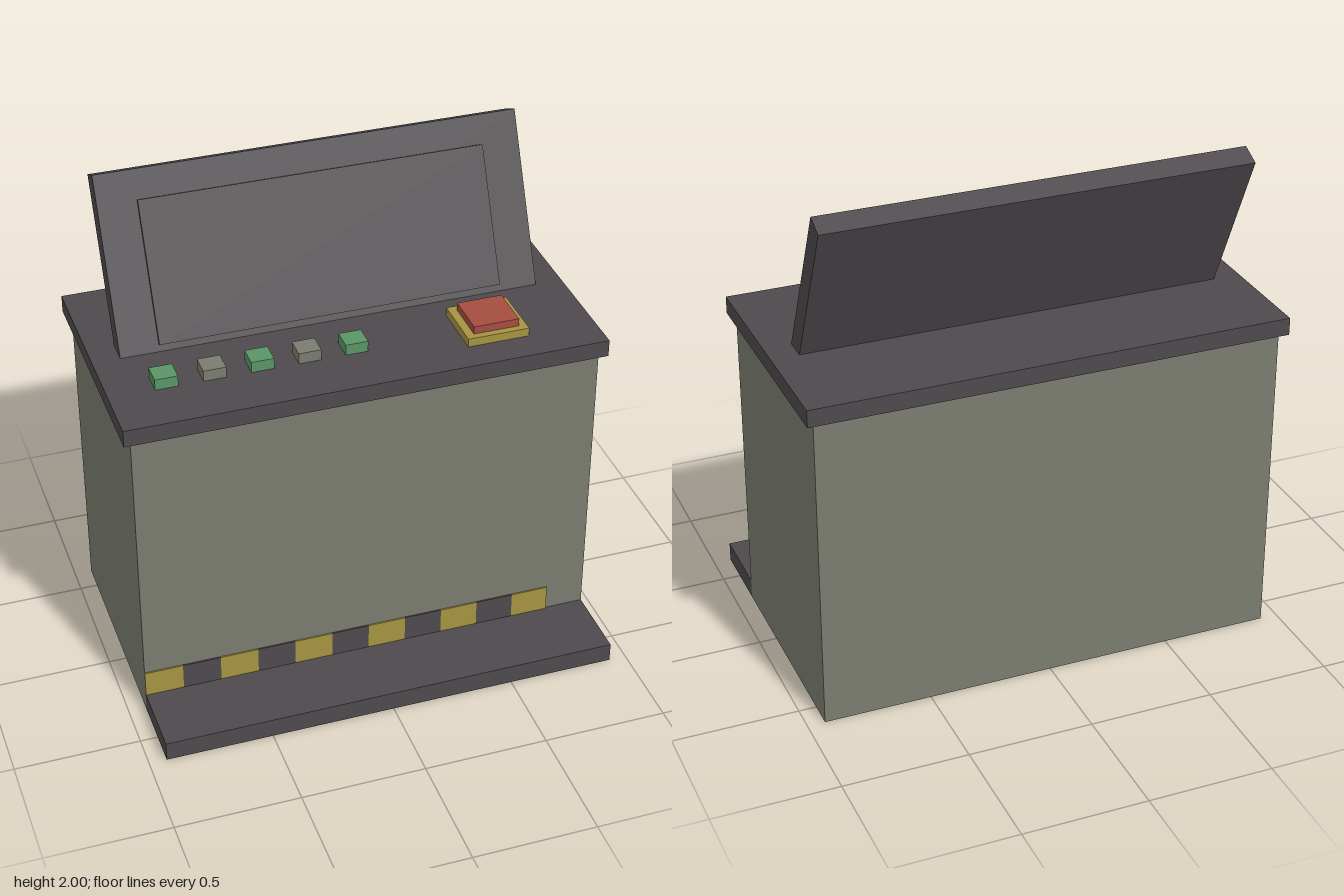
import * as THREE from 'three';

const material = (name, color) => {
  const m = new THREE.MeshStandardMaterial({ color });
  m.name = name;
  return m;
};

export function createModel() {
  const dark = material('dark grey', 0x4e494d);
  const olive = material('olive grey', 0x7a7c70);
  const yellow = material('warning yellow', 0xa59341);
  const green = material('button green', 0x5b9566);
  const red = material('stop red', 0xa54d40);

  const model = new THREE.Group();
  model.name = 'controlConsole';

  // Box given by its extents along each axis
  const box = (name, mat, [x0, x1], [y0, y1], [z0, z1], parent = model) => {
    const mesh = new THREE.Mesh(new THREE.BoxGeometry(x1 - x0, y1 - y0, z1 - z0), mat);
    mesh.position.set((x0 + x1) / 2, (y0 + y1) / 2, (z0 + z1) / 2);
    mesh.name = name;
    parent.add(mesh);
    return mesh;
  };

  // Cabinet, worktop and foot step
  box('cabinet', olive, [-0.93, 0.93], [0, 1.295], [-0.605, 0.33]);
  box('worktop', dark, [-0.96, 0.96], [1.295, 1.365], [-0.632, 0.355]);
  box('footStep', dark, [-0.93, 0.93], [0, 0.08], [0.33, 0.635]);

  // Hazard stripes along the foot of the cabinet
  const stripe = 1.7 / 11;
  for (let i = 0; i < 11; i++) {
    const x = -0.93 + i * stripe;
    box('hazardStripe', i % 2 ? dark : yellow, [x, x + stripe], [0.08, 0.19], [0.33, 0.336]);
  }

  // Display leaning back, pivoted at its top front edge
  const display = new THREE.Group();
  display.name = 'display';
  display.position.set(0, 2, -0.415);
  display.rotation.x = THREE.MathUtils.degToRad(-25);
  model.add(display);
  box('displayHousing', dark, [-0.85, 0.85], [-0.79, 0], [-0.088, 0], display);
  box('displayScreen', dark, [-0.695, 0.695], [-0.674, -0.117], [0, 0.014], display);

  // Row of push buttons
  for (let i = 0; i < 5; i++) {
    const x = -0.735 + i * 0.187;
    box('pushButton', i % 2 ? olive : green, [x - 0.045, x + 0.045], [1.365, 1.41], [0.043, 0.131]);
  }

  // Emergency stop
  box('stopButtonBase', yellow, [0.43, 0.68], [1.365, 1.4], [-0.015, 0.225]);
  box('stopButton', red, [0.463, 0.648], [1.4, 1.432], [0.013, 0.197]);

  return model;
}
